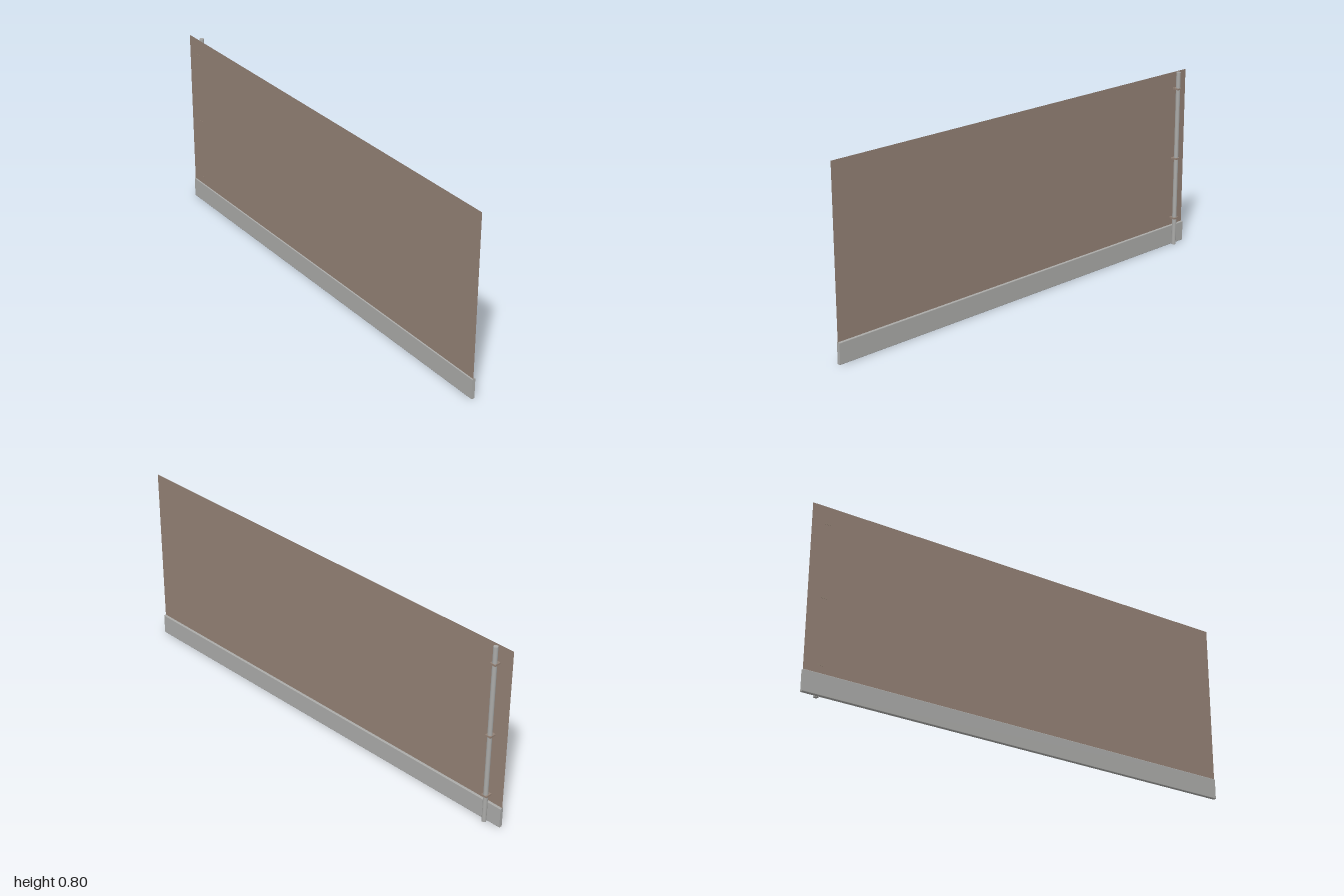
import * as THREE from 'three';

const steel = new THREE.MeshStandardMaterial({ name: 'galvanised grey', color: 0xa9a9a7 });
const brown = new THREE.MeshStandardMaterial({ name: 'screen brown', color: 0x928074 });
const brownSheet = brown;
brownSheet.side = THREE.DoubleSide;

const BASE = { x0: -0.019, x1: -0.004, height: 0.09 };
const SHEET_X = -0.014;
const POST = { x: 0.0045, z: -0.93, radius: 0.0097, height: 0.8 };

function part(parent, name, geometry, material, x = 0, y = 0, z = 0) {
  const mesh = new THREE.Mesh(geometry, material);
  mesh.name = name;
  mesh.position.set(x, y, z);
  parent.add(mesh);
  return mesh;
}

// Base rail: upright board with softened long edges, extruded along z
function baseRailGeometry() {
  const { x0, x1, height: h } = BASE;
  const r = 0.003;
  const s = new THREE.Shape();
  s.moveTo(x0 + r, 0);
  s.lineTo(x1 - r, 0);
  s.quadraticCurveTo(x1, 0, x1, r);
  s.lineTo(x1, h - r);
  s.quadraticCurveTo(x1, h, x1 - r, h);
  s.lineTo(x0 + r, h);
  s.quadraticCurveTo(x0, h, x0, h - r);
  s.lineTo(x0, r);
  s.quadraticCurveTo(x0, 0, x0 + r, 0);
  return new THREE.ExtrudeGeometry(s, { depth: 2, bevelEnabled: false, curveSegments: 4 }).translate(0, 0, -1);
}

// Clamp: flat rectangular strap with a round hole for the post
function clampGeometry() {
  const s = new THREE.Shape();
  const left = -0.015 - POST.x, right = 0.016 - POST.x, half = 0.013;
  s.moveTo(left, -half);
  s.lineTo(right, -half);
  s.lineTo(right, half);
  s.lineTo(left, half);
  s.closePath();
  const hole = new THREE.Path();
  hole.absarc(0, 0, POST.radius, 0, Math.PI * 2, true);
  s.holes.push(hole);
  const depth = 0.007;
  return new THREE.ExtrudeGeometry(s, { depth, bevelEnabled: false, curveSegments: 12 })
    .translate(0, 0, -depth / 2)
    .rotateX(-Math.PI / 2);
}

export function createModel() {
  const model = new THREE.Group();
  model.name = 'fencePanel';

  part(model, 'baseRail', baseRailGeometry(), steel);

  // Thin screen sheet standing in the base rail
  const sheetHeight = POST.height - 0.08;
  const sheet = new THREE.PlaneGeometry(2, sheetHeight).rotateY(Math.PI / 2);
  part(model, 'screenSheet', sheet, brownSheet, SHEET_X, 0.08 + sheetHeight / 2, 0);

  // Round post near the back end
  const post = new THREE.CylinderGeometry(POST.radius, POST.radius, POST.height, 24);
  part(model, 'post', post, steel, POST.x, POST.height / 2, POST.z);

  // Clamps tying the sheet to the post
  const clamp = clampGeometry();
  [0.125, 0.405, 0.725].forEach((y, i) => part(model, `clamp${i + 1}`, clamp, brown, POST.x, y, POST.z));

  return model;
}
